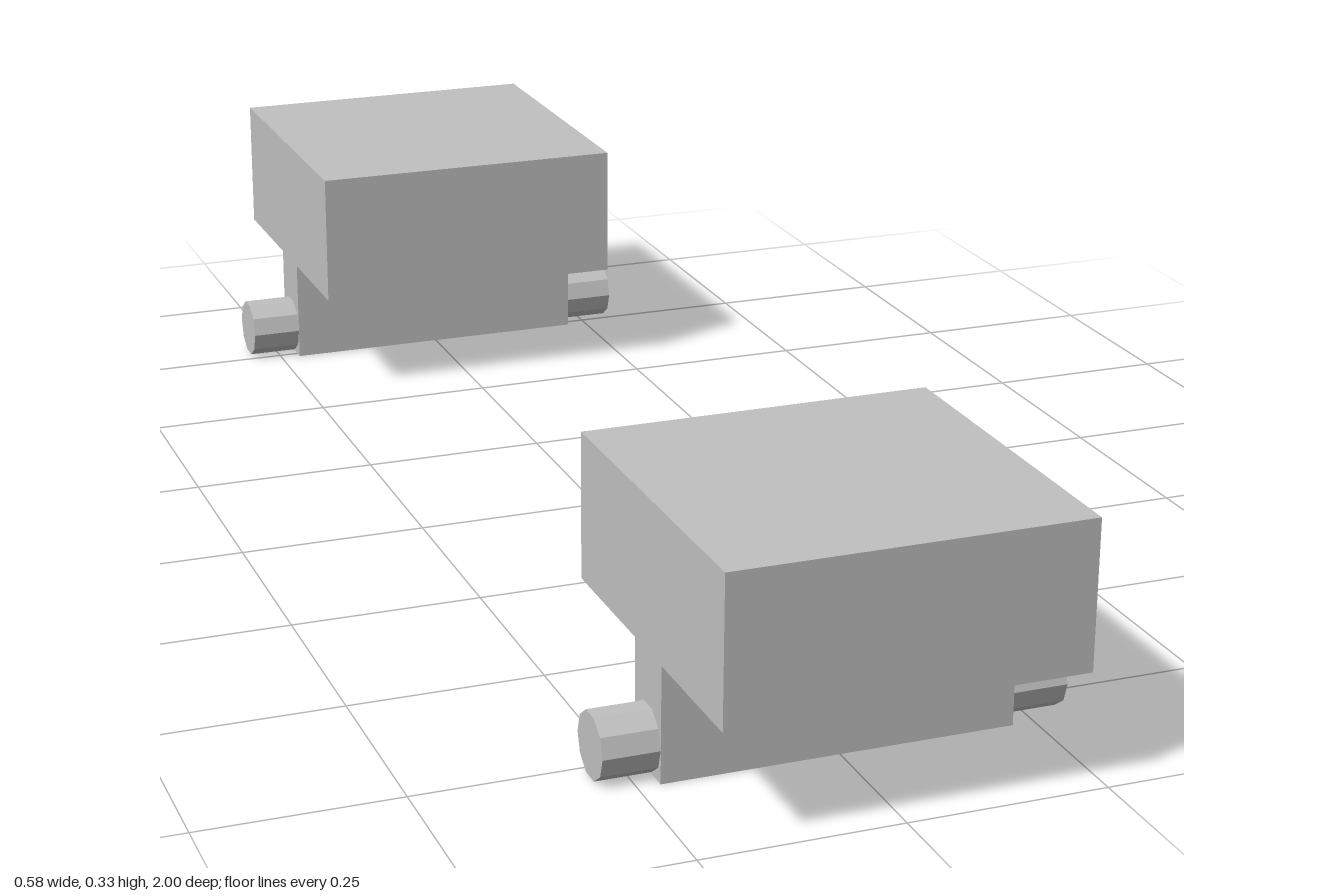
import * as THREE from 'three';

export function createModel() {
  const model = new THREE.Group();
  const grey = new THREE.MeshStandardMaterial({ color: 0xc0c0c0, flatShading: true });
  grey.name = 'plain grey';

  const width = 0.444, height = 0.333, stemHeight = 0.147, pegLength = 0.07;

  const add = (parent, name, geometry, x, y) => {
    const mesh = new THREE.Mesh(geometry, grey);
    mesh.name = name;
    mesh.position.set(x, y, 0);
    parent.add(mesh);
  };

  // Square block on a narrow stem, with a ten-sided peg at each end
  const createUnit = (name, z) => {
    const unit = new THREE.Group();
    unit.name = name;
    unit.position.z = z;
    const blockHeight = height - stemHeight;
    add(unit, 'block', new THREE.BoxGeometry(width, blockHeight, width), 0, stemHeight + blockHeight / 2);
    add(unit, 'stem', new THREE.BoxGeometry(width, stemHeight, 0.083), 0, stemHeight / 2);
    for (const side of [-1, 1]) {
      const peg = new THREE.CylinderGeometry(0.0415, 0.0415, pegLength, 10).rotateZ(Math.PI / 2);
      add(unit, side > 0 ? 'leftPeg' : 'rightPeg', peg, side * (width + pegLength) / 2, 0.0415);
    }
    model.add(unit);
  };

  createUnit('frontUnit', 0.778);
  createUnit('backUnit', -0.778);
  return model;
}
